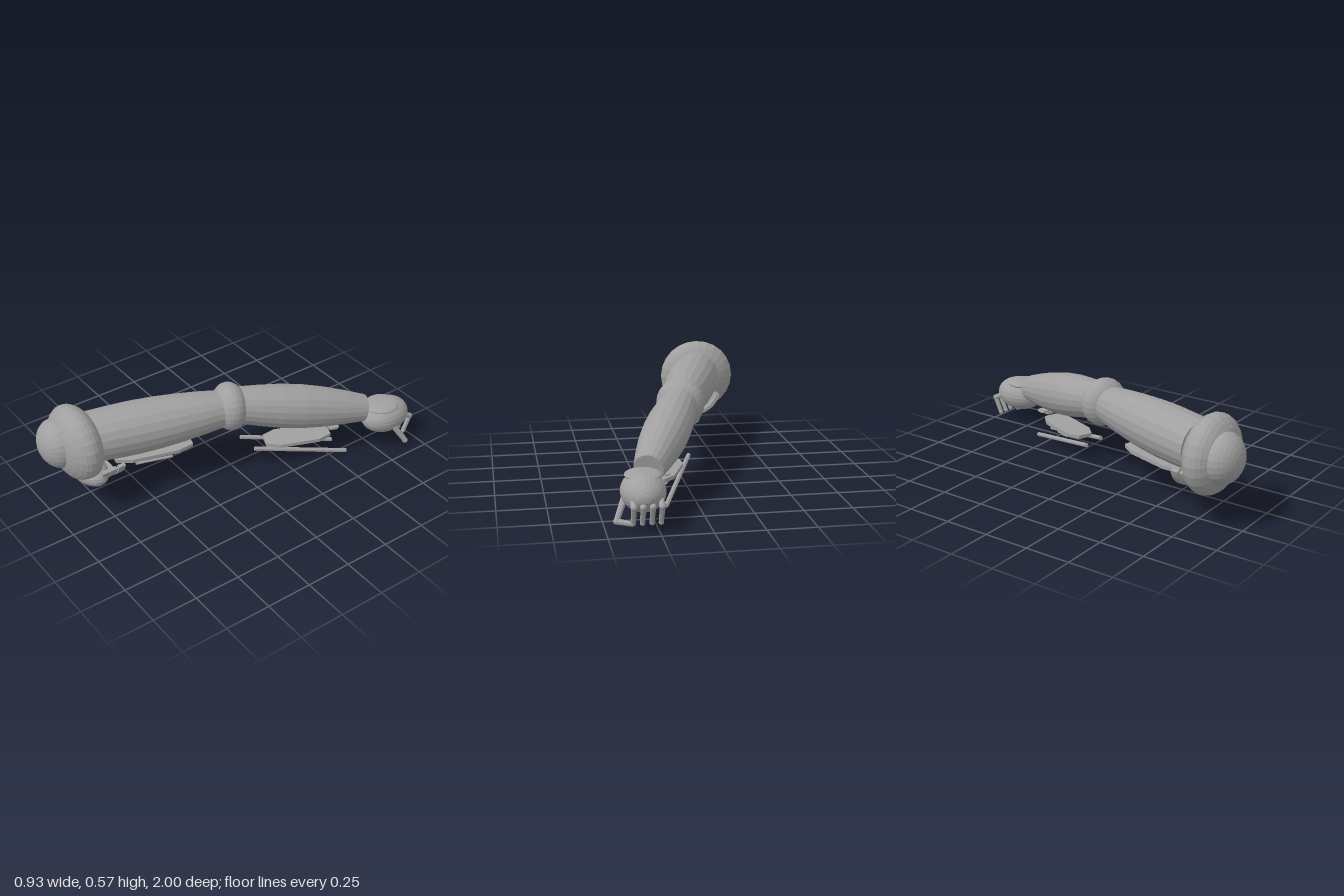
import * as THREE from 'three';

const grey = new THREE.MeshStandardMaterial({ color: 0xa0a0a0, flatShading: true });
grey.name = 'grey';
const V = (p) => new THREE.Vector3(...p);

export function createModel() {
  const model = new THREE.Group();
  model.name = 'arm';

  const add = (name, geometry, pos = [0, 0, 0]) => {
    const mesh = new THREE.Mesh(geometry, grey);
    mesh.name = name;
    mesh.position.set(...pos);
    model.add(mesh);
    return mesh;
  };

  // Squashed ball; its poles lie along z, or along y when upright
  const ball = (name, pos, [rx, ry, rz], turn = 0, upright = false) => {
    const g = new THREE.SphereGeometry(1, 24, 16);
    if (!upright) g.rotateX(Math.PI / 2);
    g.scale(rx, ry, rz).rotateY(turn);
    return add(name, g, pos);
  };

  // Place a y-aligned mesh so that it runs from a to b
  const aim = (mesh, a, b) => {
    const dir = V(b).sub(V(a)).normalize();
    mesh.quaternion.setFromUnitVectors(new THREE.Vector3(0, 1, 0), dir);
    return mesh;
  };

  // Swelling limb turned around its own axis, radii spaced evenly
  const limb = (name, a, b, radii) => {
    const length = V(a).distanceTo(V(b));
    const pts = radii.map((r, i) => new THREE.Vector2(r, (length * i) / (radii.length - 1)));
    pts.unshift(new THREE.Vector2(0, 0));
    pts.push(new THREE.Vector2(0, length));
    return aim(add(name, new THREE.LatheGeometry(pts, 20), a), a, b);
  };

  const rod = (name, a, b, r0, r1 = r0, sides = 8) => {
    const length = V(a).distanceTo(V(b));
    const g = new THREE.CylinderGeometry(r1, r0, length, sides).translate(0, length / 2, 0);
    return aim(add(name, g, a), a, b);
  };

  // Long plate with cut corners, lying flat and turned with the limb
  const plate = (name, pos, width, length, thick, turn) => {
    const w = width / 2, l = length / 2;
    const shape = new THREE.Shape([
      [-w * 0.55, -l], [w * 0.55, -l], [w, -l * 0.6], [w, l * 0.6],
      [w * 0.55, l], [-w * 0.55, l], [-w, l * 0.6], [-w, -l * 0.6],
    ].map((p) => new THREE.Vector2(...p)));
    const g = new THREE.ExtrudeGeometry(shape, { depth: thick, bevelEnabled: false });
    g.translate(0, 0, -thick / 2).rotateX(Math.PI / 2).rotateY(turn);
    return add(name, g, pos);
  };

  // Shoulder
  ball('shoulder', [-0.247, 0.37, 0.815], [0.216, 0.208, 0.118]);
  ball('shoulderCap', [-0.285, 0.38, 0.895], [0.136, 0.134, 0.105]);
  ball('shoulderUnderside', [-0.2, 0.23, 0.785], [0.165, 0.075, 0.09]);

  // Curved guard bands beneath the shoulder
  for (const z of [0.645, 0.695, 0.74]) {
    const s = new THREE.Shape();
    const from = Math.PI * 1.1, to = Math.PI * 1.9;
    s.absarc(0, 0, 0.172, from, to, false);
    s.absarc(0, 0, 0.152, to, from, true);
    const g = new THREE.ExtrudeGeometry(s, { depth: 0.042, bevelEnabled: false, curveSegments: 12 });
    add('shoulderBand', g, [-0.196, 0.332, z]);
  }

  // Limbs and elbow
  limb('upperArm', [-0.228, 0.385, 0.74], [-0.02, 0.393, 0.04],
    [0.136, 0.141, 0.143, 0.139, 0.13, 0.117, 0.1]);
  ball('elbow', [-0.01, 0.397, 0], [0.132, 0.133, 0.095], -0.3);
  limb('forearm', [0.0, 0.398, -0.03], [0.27, 0.247, -0.717],
    [0.098, 0.111, 0.12, 0.121, 0.112, 0.096, 0.076]);

  // Layered plates under the upper arm
  const upperTurn = -0.29;
  plate('upperArmPlate', [-0.13, 0.222, 0.42], 0.14, 0.43, 0.02, upperTurn);
  plate('upperArmInnerPlate', [-0.13, 0.2, 0.425], 0.09, 0.3, 0.012, upperTurn);
  rod('upperArmRod', [-0.13, 0.172, 0.53], [-0.07, 0.172, 0.335], 0.007);

  // Layered plates and rails under the forearm
  const lowerTurn = -0.37;
  plate('forearmPlate', [0.135, 0.13, -0.355], 0.15, 0.37, 0.02, lowerTurn);
  plate('forearmInnerPlate', [0.14, 0.103, -0.365], 0.06, 0.22, 0.014, lowerTurn);
  plate('forearmSmallPlate', [0.13, 0.077, -0.39], 0.015, 0.1, 0.007, lowerTurn);
  rod('forearmRail', [-0.038, 0.13, -0.095], [0.163, 0.017, -0.59], 0.012);
  rod('forearmRail', [0.094, 0.13, -0.095], [0.29, 0.017, -0.59], 0.012);
  plate('wristPlate', [0.21, 0.153, -0.555], 0.05, 0.06, 0.014, lowerTurn);
  plate('wristPlate', [0.17, 0.172, -0.555], 0.06, 0.06, 0.008, lowerTurn);

  // Hand with a low pad on its back
  ball('hand', [0.314, 0.18, -0.842], [0.11, 0.096, 0.146]);
  ball('handPad', [0.31, 0.253, -0.815], [0.091, 0.022, 0.1], 0, true);

  // Curled fingers
  for (const x of [0.243, 0.287, 0.332, 0.376]) {
    const base = [x, 0.165, -0.935], knuckle = [x, 0.143, -0.98], tip = [x, 0.055, -0.942];
    rod('finger', base, knuckle, 0.015);
    rod('fingerTip', knuckle, tip, 0.014, 0.012);
    ball('knuckle', knuckle, [0.016, 0.016, 0.016]);
    ball('fingerEnd', tip, [0.013, 0.013, 0.013]);
  }

  // Thumb
  const thumb = [[0.4, 0.155, -0.83], [0.448, 0.052, -0.89], [0.37, 0.045, -0.925]];
  rod('thumb', thumb[0], thumb[1], 0.018, 0.015);
  rod('thumbTip', thumb[1], thumb[2], 0.015, 0.012);
  ball('thumbKnuckle', thumb[1], [0.016, 0.016, 0.016]);

  return model;
}
